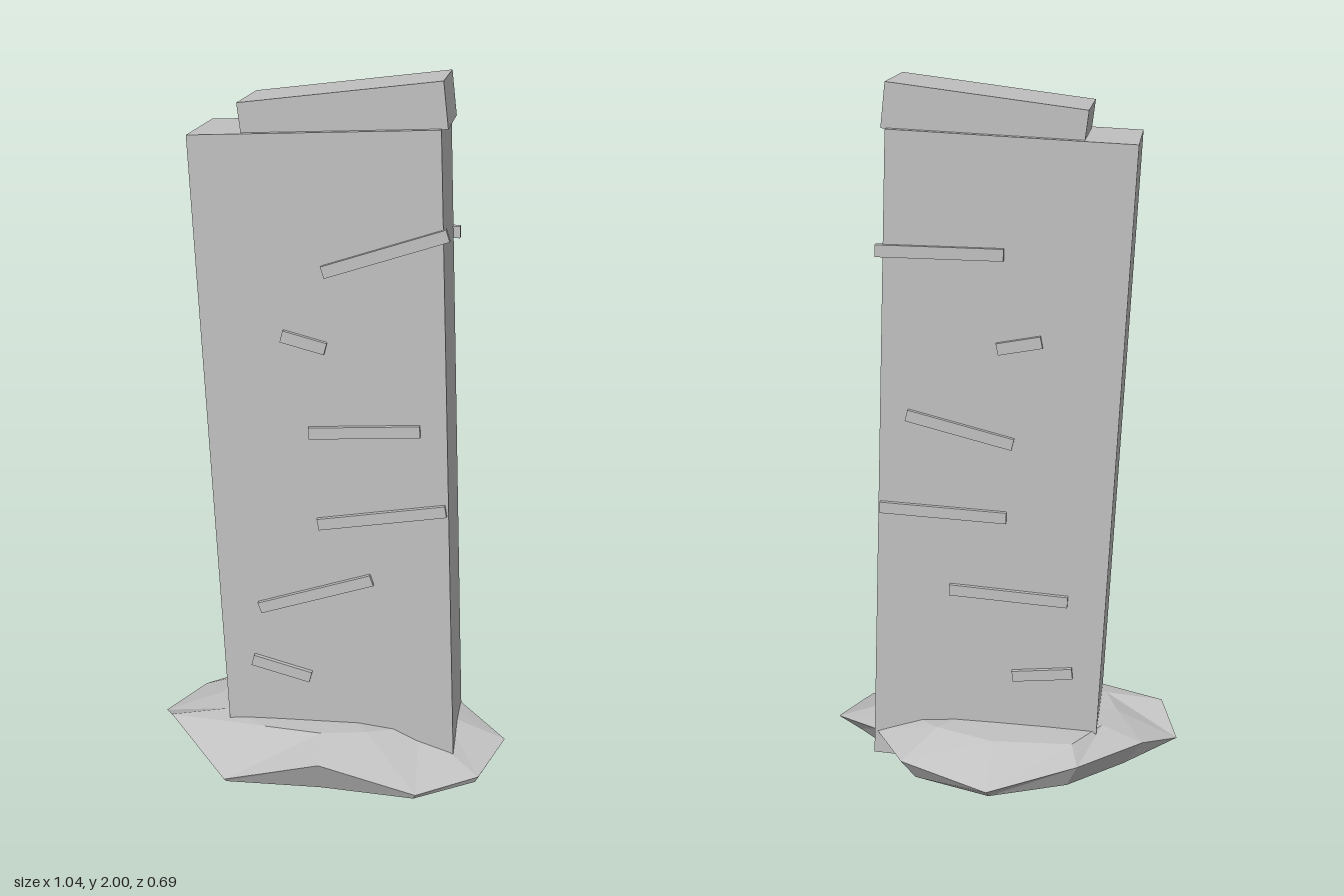
import * as THREE from 'three';

const stone = new THREE.MeshStandardMaterial({ color: 0xc0c0c0, flatShading: true });
stone.name = 'grey stone';

function block(name, size, position, degrees) {
  const mesh = new THREE.Mesh(new THREE.BoxGeometry(...size), stone);
  mesh.name = name;
  mesh.position.set(...position);
  mesh.rotation.z = THREE.MathUtils.degToRad(degrees);
  return mesh;
}

// Faceted mound lofted through bottom, rim and top rings
function moundGeometry() {
  const rim = [
    [0.01, 0.06, -0.35], [0.27, 0.09, -0.265], [0.375, 0.1, -0.11], [0.52, 0.06, 0.02],
    [0.455, 0.04, 0.205], [0.285, 0.035, 0.32], [0.01, 0.12, 0.345], [-0.27, 0.03, 0.32],
    [-0.47, 0.12, 0.14], [-0.52, 0.06, 0.02], [-0.42, 0.1, -0.09], [-0.24, 0.1, -0.25],
  ];
  const top = [
    [0.01, 0.15, -0.22], [0.18, 0.155, -0.17], [0.28, 0.14, -0.08], [0.33, 0.13, 0.02],
    [0.27, 0.14, 0.12], [0.13, 0.16, 0.21], [0, 0.155, 0.23], [-0.17, 0.15, 0.21],
    [-0.3, 0.145, 0.12], [-0.34, 0.14, 0.02], [-0.3, 0.145, -0.08], [-0.22, 0.145, -0.2],
  ];
  const bottom = rim.map(([x, y, z]) => {
    const s = y < 0.05 ? 0.98 : 0.87;
    return [x * s, 0.02, z * s];
  });
  const n = rim.length;
  const points = [...bottom, ...rim, ...top, [0, 0.02, 0], [0, 0.16, 0.02]];
  const index = [];
  for (let i = 0; i < n; i++) {
    const j = (i + 1) % n;
    for (const k of [0, n]) {
      index.push(k + i, k + n + i, k + j, k + j, k + n + i, k + n + j);
    }
    index.push(3 * n, i, j, 3 * n + 1, 2 * n + j, 2 * n + i);
  }
  const geometry = new THREE.BufferGeometry();
  geometry.setAttribute('position', new THREE.Float32BufferAttribute(points.flat(), 3));
  geometry.setIndex(index);
  const flat = geometry.toNonIndexed();
  flat.computeVertexNormals();
  return flat;
}

export function createModel() {
  const group = new THREE.Group();
  group.name = 'standing stone';

  // Leaning slab and its crooked cap
  group.add(block('slab', [0.66, 1.855, 0.285], [0.01, 0.94, 0.022], 2.5));
  group.add(block('cap', [0.534, 0.12, 0.245], [0.0425, 1.9075, 0.0225], 7));

  // Raised strips: x, y, length, front angle, back angle
  const strips = [
    [0.16, 1.56, 0.345, 18.5, 0.5],
    [-0.055, 1.312, 0.123, -14, -11],
    [0.11, 1.066, 0.305, 4, 14],
    [0.16, 0.818, 0.36, 10, 2.5],
    [-0.026, 0.571, 0.34, 19, 3.5],
    [-0.125, 0.325, 0.175, -14, -6],
  ];
  for (const [x, y, length, front, back] of strips) {
    group.add(block('frontStrip', [length, 0.033, 0.02], [x, y, 0.167], front));
    group.add(block('backStrip', [length, 0.033, 0.02], [x, y, -0.122], back));
  }

  // Rocky mound around the foot
  const mound = new THREE.Mesh(moundGeometry(), stone);
  mound.name = 'mound';
  group.add(mound);

  return group;
}
